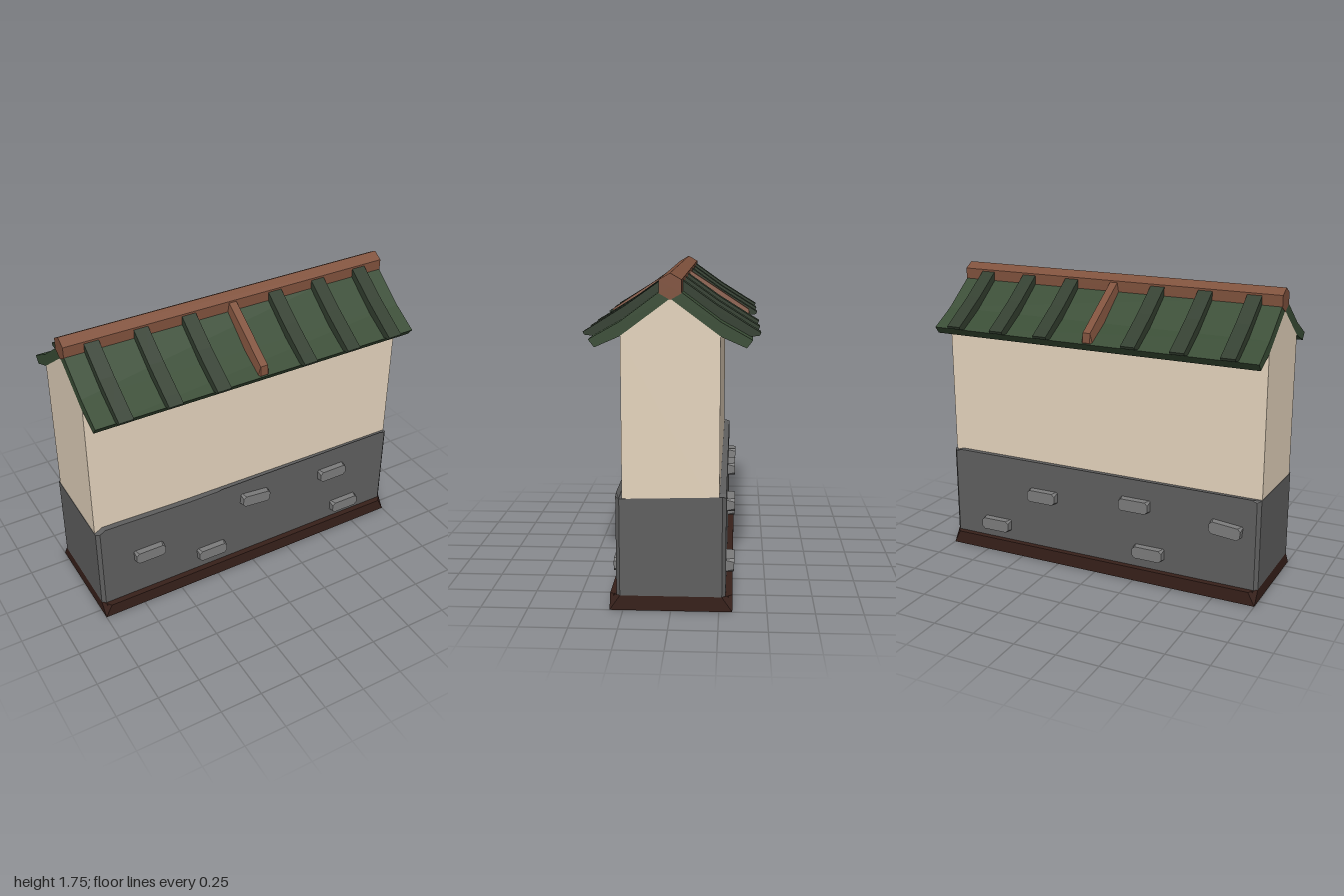
import * as THREE from 'three';
import { ConvexGeometry } from 'three/addons/geometries/ConvexGeometry.js';

const mat = (color) => new THREE.MeshStandardMaterial({ color, flatShading: true });
const plasterMat = mat(0xe5d4bd), stoneMat = mat(0x5f5f5f), brickMat = mat(0x7c7c7c);
const baseMat = mat(0x37201a), tileMat = mat(0x3a4d36), ribMat = mat(0x333f30), woodMat = mat(0x80523d);

const vectors = (pts) => pts.map(([x, y]) => new THREE.Vector2(x, y));
const extrude = (shape, depth) => new THREE.ExtrudeGeometry(shape, { depth, bevelEnabled: false });

// Profile given as (z, y), extruded along x and centred
const alongX = (pts, width) =>
  extrude(new THREE.Shape(vectors(pts)), width).translate(0, 0, -width / 2).rotateY(-Math.PI / 2);

// Plan given as (x, -z), extruded upwards from y
const upwards = (shape, y, height) => extrude(shape, height).rotateX(-Math.PI / 2).translate(0, y, 0);

// Moves every vertex by a rule
function reshape(geo, rule) {
  const p = geo.attributes.position;
  const v = new THREE.Vector3();
  for (let i = 0; i < p.count; i++) {
    rule(v.fromBufferAttribute(p, i));
    p.setXYZ(i, v.x, v.y, v.z);
  }
  geo.computeVertexNormals();
  return geo;
}

function add(parent, name, geo, material) {
  const mesh = new THREE.Mesh(geo, material);
  mesh.name = name;
  parent.add(mesh);
  return mesh;
}

// Brick whose outer face has clipped corners
function makeBrick() {
  const pts = [];
  for (const sx of [-1, 1]) {
    for (const sy of [-1, 1]) {
      pts.push(new THREE.Vector3(sx * 0.093, sy * 0.036, -0.03));
      pts.push(new THREE.Vector3(sx * 0.093, sy * 0.02, 0.04));
      pts.push(new THREE.Vector3(sx * 0.075, sy * 0.036, 0.04));
    }
  }
  return new ConvexGeometry(pts);
}

export function createModel() {
  const wall = new THREE.Group();
  wall.name = 'roofedWall';

  // Wooden footing: a hollow skirt, square at the ground with its corners cut at the top
  const skirt = new THREE.Shape(vectors([[1, -0.265], [1, 0.265], [0.96, 0.32], [-0.96, 0.32],
    [-1, 0.265], [-1, -0.265], [-0.96, -0.32], [0.96, -0.32]]));
  skirt.holes.push(new THREE.Path(vectors([[-0.975, -0.295], [-0.975, 0.295], [0.975, 0.295], [0.975, -0.295]])));
  const skirtGeo = reshape(upwards(skirt, 0, 0.08), (v) => {
    if (v.y > 0.04) return;
    const inner = Math.abs(v.x) > 0.97 && Math.abs(v.x) < 0.98;
    v.x = Math.sign(v.x) * (inner ? 0.99 : 1);
    v.z = Math.sign(v.z) * (inner ? 0.31 : 0.32);
  });
  add(wall, 'footingSkirt', skirtGeo, baseMat);
  add(wall, 'footingPanel', new THREE.BoxGeometry(1.96, 0.01, 0.6).translate(0, 0.074, 0), baseMat);

  // Stone lower wall with chamfered upright edges, dropped corners and a chip in the front top edge
  const plan = [[1, -0.265], [1, 0.265], [0.98, 0.285], [0.945, 0.285], [-0.945, 0.285], [-0.98, 0.285],
    [-1, 0.265], [-1, -0.265], [-0.98, -0.285], [-0.945, -0.285], [-0.4, -0.285], [-0.29, -0.285],
    [-0.2, -0.285], [0.945, -0.285], [0.98, -0.285]];
  const stone = reshape(upwards(new THREE.Shape(vectors(plan)), 0.08, 0.54), (v) => {
    if (v.y < 0.3) return;
    if (Math.abs(v.x) > 0.99) v.y = v.z > 0 ? 0.6 : 0.615;
    else if (Math.abs(v.x) > 0.96) v.y = 0.608;
    else if (v.z > 0 && v.x < -0.9) v.y = 0.628;
    else if (v.z > 0 && v.x < -0.35) v.y = 0.613;
    else if (v.z > 0 && v.x < -0.25) v.y = 0.598;
  });
  add(wall, 'stoneWall', stone, stoneMat);

  // Bricks standing out of both faces: x, y, tilt
  const brickGeo = makeBrick();
  const faces = {
    front: [[-0.69, 0.36, 0], [-0.28, 0.19, 0], [0.02, 0.485, -0.1], [0.575, 0.46, 0], [0.685, 0.168, 0]],
    back: [[-0.69, 0.175, 0], [-0.36, 0.415, 0], [0.25, 0.47, 0], [0.34, 0.185, 0], [0.81, 0.425, -0.1]],
  };
  for (const [side, bricks] of Object.entries(faces)) {
    const group = new THREE.Group();
    group.name = side + 'Bricks';
    if (side === 'back') group.rotation.y = Math.PI;
    for (const [x, y, tilt] of bricks) {
      const brick = add(group, 'brick', brickGeo, brickMat);
      brick.position.set(x, y, side === 'back' ? 0.288 : 0.282);
      brick.rotation.z = tilt;
    }
    wall.add(group);
  }

  // Plaster upper wall with gabled ends
  add(wall, 'plasterWall', alongX([[-0.25, 0.5], [0.25, 0.5], [0.25, 1.436], [0, 1.622], [-0.25, 1.436]], 1.996), plasterMat);

  // Two mirrored roof slopes, each with ribs and a middle batten
  const slopePts = [[0, 1.62], [0.25, 1.435], [0.38, 1.378], [0.41, 1.418], [0.25, 1.508], [0, 1.695]];
  const ribPts = [[0.02, 1.65], [0.25, 1.49], [0.4, 1.422], [0.445, 1.428], [0.452, 1.443],
    [0.395, 1.477], [0.23, 1.58], [0.04, 1.715]];
  const battenPts = [[0.01, 1.64], [0.25, 1.47], [0.39, 1.4], [0.405, 1.425], [0.4, 1.48], [0.23, 1.592], [0.03, 1.722]];
  for (const turn of [0, Math.PI]) {
    const roof = new THREE.Group();
    roof.name = turn ? 'backRoof' : 'frontRoof';
    roof.rotation.y = turn;
    add(roof, 'roofSlope', alongX(slopePts, 1.996), tileMat);
    for (const x of [-0.842, -0.558, -0.272, 0.272, 0.558, 0.842]) {
      add(roof, 'roofRib', alongX(ribPts, 0.084), ribMat).position.x = x;
    }
    // The batten narrows towards its upper side
    const batten = reshape(alongX(battenPts, 0.075), (v) => { if (v.y > 1.7 - 0.72 * v.z) v.x *= 0.6; });
    add(roof, 'middleBatten', batten, woodMat);
    wall.add(roof);
  }

  // Six-sided ridge beam with a corner pointing up
  const ridge = new THREE.CylinderGeometry(0.066, 0.066, 2, 6).rotateY(Math.PI / 6).rotateZ(Math.PI / 2);
  add(wall, 'ridgeBeam', ridge.translate(0, 1.681, 0), woodMat);

  return wall;
}
